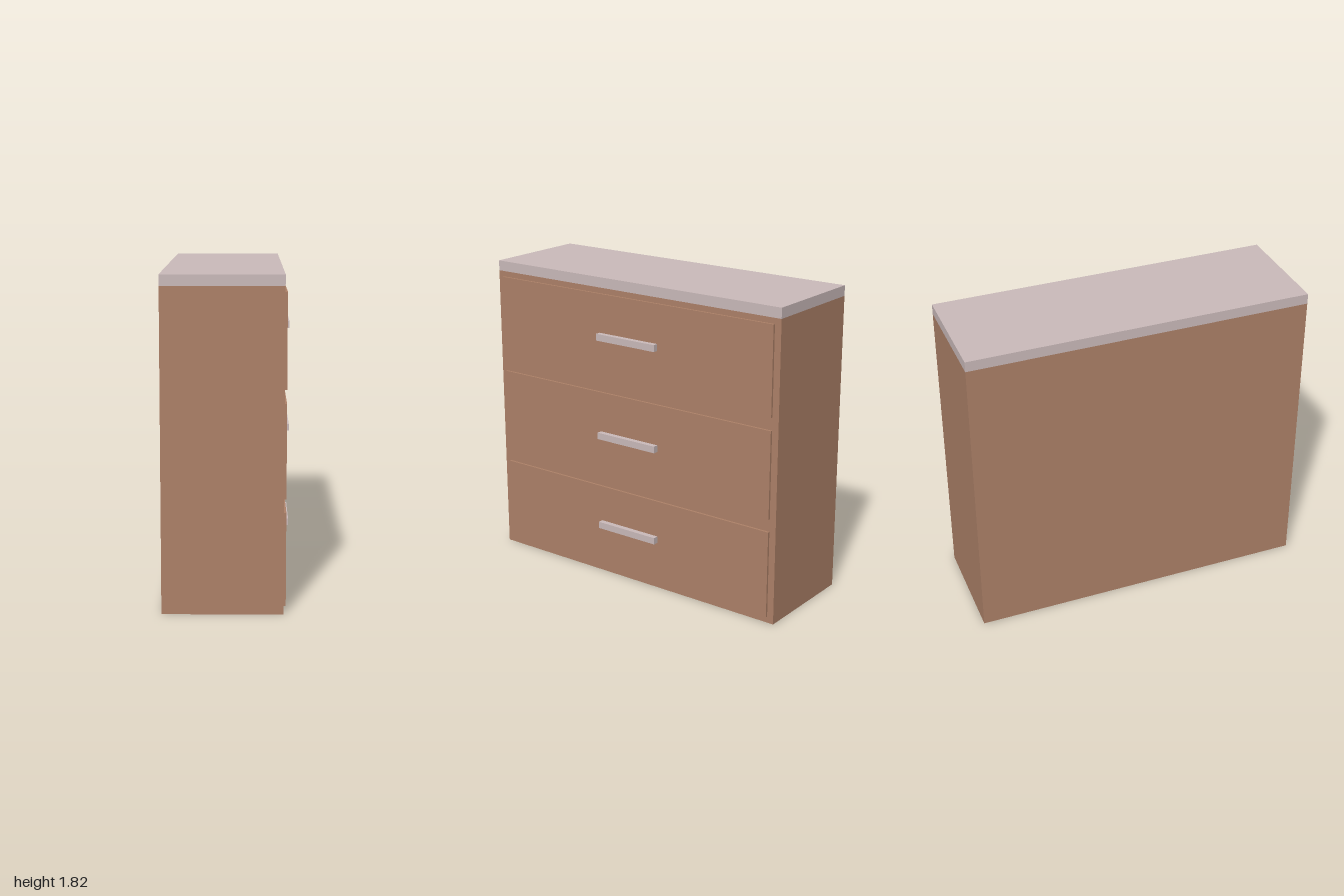
import * as THREE from 'three';

const wood = new THREE.MeshStandardMaterial({ name: 'brown wood', color: 0xad8168 });
const pale = new THREE.MeshStandardMaterial({ name: 'pale grey', color: 0xcabaBa });

// Box given by its lower and upper corners
function box(name, material, [x0, y0, z0], [x1, y1, z1]) {
  const mesh = new THREE.Mesh(new THREE.BoxGeometry(x1 - x0, y1 - y0, z1 - z0), material);
  mesh.position.set((x0 + x1) / 2, (y0 + y1) / 2, (z0 + z1) / 2);
  mesh.name = name;
  return mesh;
}

export function createModel() {
  const model = new THREE.Group();
  model.name = 'chestOfDrawers';

  // Carcass and the slab on top
  model.add(box('carcass', wood, [-0.35, 0, -1], [0.305, 1.76, 1]));
  model.add(box('topSlab', pale, [-0.35, 1.76, -1], [0.305, 1.82, 1]));

  // Three drawers facing +x: bottom, top and handle height of each
  const drawers = [
    [0.037, 0.552, 0.313],
    [0.625, 1.139, 0.879],
    [1.213, 1.727, 1.478],
  ];
  for (const [bottom, top, grip] of drawers) {
    const drawer = new THREE.Group();
    drawer.name = 'drawer';
    drawer.add(box('drawerFront', wood, [0.305, bottom, -0.96], [0.318, top, 0.962]));
    drawer.add(box('handle', pale, [0.318, grip - 0.02, -0.2], [0.35, grip + 0.02, 0.215]));
    model.add(drawer);
  }
  return model;
}
